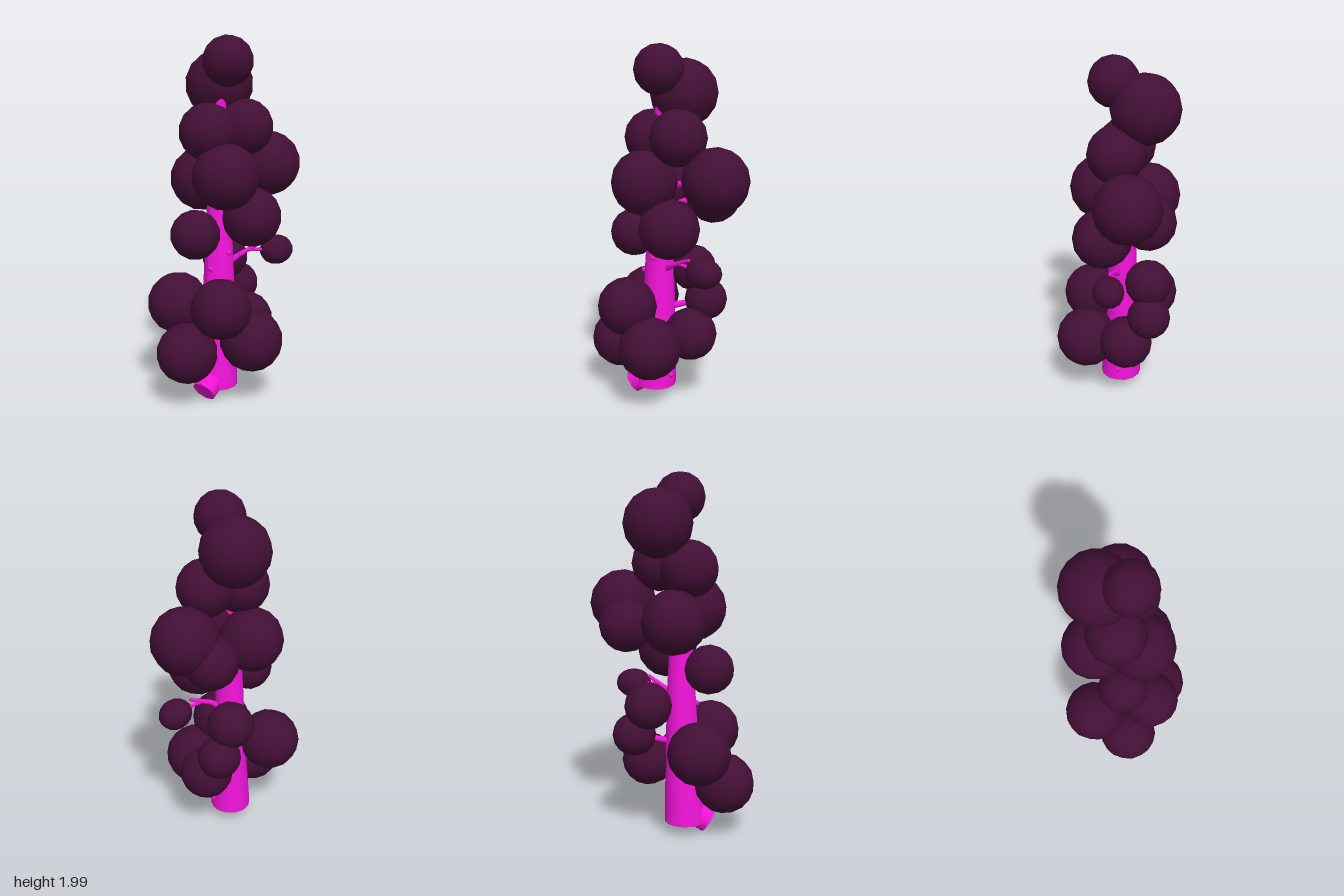
import * as THREE from 'three';

const bark = new THREE.MeshStandardMaterial({ color: 0xf514dc });
const leaf = new THREE.MeshStandardMaterial({ color: 0x430f36 });

// x, y, z, radius of each leaf clump, from the top down
const CLUMPS = [
  [0.03, 1.865, 0.035, 0.135],
  [-0.12, 1.735, -0.045, 0.185],
  [0.04, 1.515, -0.08, 0.155],
  [-0.05, 1.495, 0.105, 0.157],
  [0.08, 1.27, 0.10, 0.18],
  [-0.16, 1.225, 0.05, 0.175],
  [0.02, 1.295, -0.285, 0.182],
  [-0.10, 1.19, -0.23, 0.148],
  [0.113, 1.035, -0.06, 0.165],
  [-0.035, 0.955, 0.215, 0.135],
  [-0.135, 0.755, -0.10, 0.13],
  [-0.20, 0.53, 0.20, 0.172],
  [0.132, 0.57, 0.185, 0.165],
  [-0.015, 0.31, 0.30, 0.167],
  [0.197, 0.37, 0.02, 0.173],
  [0.0, 0.41, -0.14, 0.148],
  [-0.12, 0.585, -0.185, 0.12],
];

// tapered round limb between two points
function limb(name, a, b, r0, r1, sides = 10) {
  const dir = b.clone().sub(a);
  const mesh = new THREE.Mesh(new THREE.CylinderGeometry(r1, r0, dir.length(), sides), bark);
  mesh.position.copy(a).add(b).multiplyScalar(0.5);
  mesh.quaternion.setFromUnitVectors(new THREE.Vector3(0, 1, 0), dir.normalize());
  mesh.name = name;
  return mesh;
}

// centre line and radius of the trunk at height y
const RINGS = [
  [-0.015, 0.07, 0.078, 0.116], [-0.018, 0.45, 0.062, 0.096], [-0.02, 0.85, 0.055, 0.078],
  [-0.025, 1.15, 0.055, 0.06], [-0.02, 1.6, 0.05, 0.035], [0, 1.8, 0.03, 0.02],
];
function trunkAt(y) {
  let i = 0;
  while (i < RINGS.length - 2 && RINGS[i + 1][1] < y) i++;
  const [a, b] = [RINGS[i], RINGS[i + 1]];
  const t = THREE.MathUtils.clamp((y - a[1]) / (b[1] - a[1]), 0, 1);
  return a.map((v, k) => v + (b[k] - v) * t);
}

function createTrunk() {
  const rows = 24;
  const geo = new THREE.CylinderGeometry(1, 1, 1, 14, rows);
  const p = geo.attributes.position;
  for (let i = 0; i < p.count; i++) {
    const [cx, y, cz, r] = trunkAt(0.07 + (p.getY(i) + 0.5) * 1.73);
    p.setXYZ(i, cx + p.getX(i) * r, y, cz + p.getZ(i) * r);
  }
  geo.computeVertexNormals();
  const mesh = new THREE.Mesh(geo, bark);
  mesh.name = 'trunk';
  return mesh;
}

export function createModel() {
  const tree = new THREE.Group();
  tree.name = 'tree';
  const V = (x, y, z) => new THREE.Vector3(x, y, z);

  tree.add(createTrunk());
  // cut root stub leaning forward at the foot
  tree.add(limb('root', V(-0.01, 0.16, 0.06), V(0.015, 0.063, 0.207), 0.078, 0.07, 8));
  // short stub at the back of the foot
  tree.add(limb('stub', V(0.02, 0.17, 0.02), V(0.03, 0.145, -0.045), 0.018, 0.012, 6));

  // round leaf clumps, each carried by a thin branch
  const ball = new THREE.IcosahedronGeometry(1, 2);
  const branches = new THREE.Group();
  branches.name = 'branches';
  const foliage = new THREE.Group();
  foliage.name = 'foliage';
  for (const [x, y, z, r] of CLUMPS) {
    const clump = new THREE.Mesh(ball, leaf);
    clump.name = 'leafClump';
    clump.position.set(x, y, z);
    clump.scale.setScalar(r);
    foliage.add(clump);
    const [cx, cy, cz] = trunkAt(Math.max(0.15, y - 0.06));
    branches.add(limb('branch', V(cx, cy, cz), V(x, y, z), 0.022, 0.012, 6));
  }

  // small flattened clump on a bare rear branch
  const small = new THREE.Mesh(ball, leaf);
  small.name = 'smallLeafClump';
  small.position.set(0.118, 0.815, -0.26);
  small.scale.set(0.085, 0.083, 0.102);
  foliage.add(small);
  branches.add(limb('rearBranch', V(0, 0.76, 0.02), V(0.04, 0.81, -0.04), 0.02, 0.015, 6));
  branches.add(limb('rearBranch', V(0.04, 0.81, -0.04), V(0.09, 0.87, -0.165), 0.015, 0.009, 6));
  branches.add(limb('rearTwig', V(0.06, 0.835, -0.09), V(0.11, 0.82, -0.22), 0.011, 0.009, 6));

  // bare twigs on the middle of the trunk
  for (const [x, y, z] of [[0.005, 0.75, 0.15], [-0.03, 0.86, 0.19], [0.075, 0.84, 0.06]]) {
    const [cx, cy, cz] = trunkAt(y + 0.03);
    branches.add(limb('twig', V(cx, cy, cz), V(x, y, z), 0.018, 0.013, 6));
  }

  tree.add(branches, foliage);
  return tree;
}
